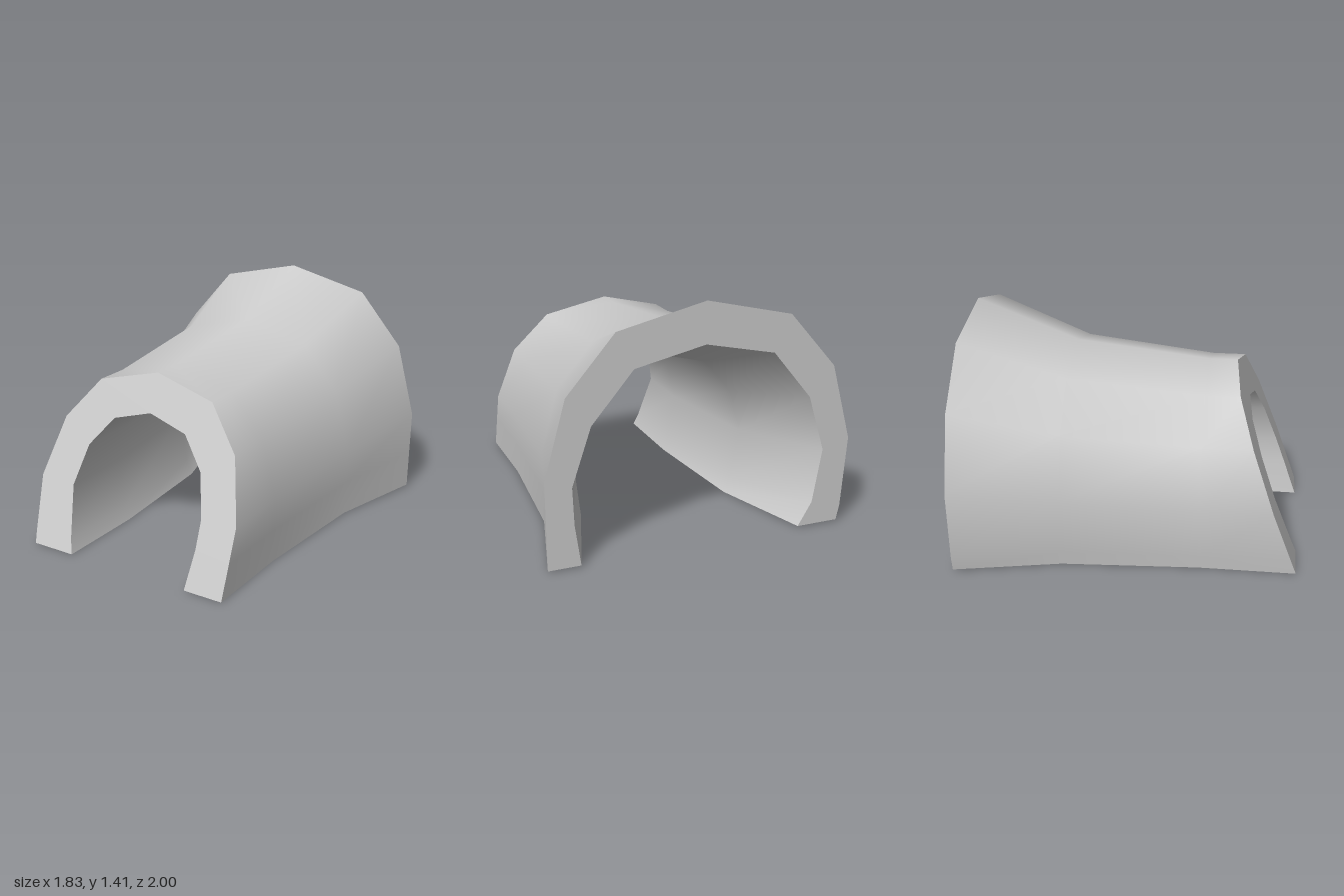
import * as THREE from 'three';
import { toCreasedNormals } from 'three/addons/utils/BufferGeometryUtils.js';

// Arch profiles [x, y], from the foot at -x over the crown to the foot at +x
const narrowOuter = [[-0.645, 0], [-0.655, 0.08], [-0.685, 0.39], [-0.59, 0.745], [-0.385, 0.99], [0, 1.085],
  [0.39, 0.99], [0.595, 0.745], [0.685, 0.39], [0.683, 0.2], [0.68, 0]];
const narrowInner = [[-0.365, 0], [-0.39, 0.08], [-0.445, 0.38], [-0.385, 0.62], [-0.24, 0.795], [0, 0.863],
  [0.255, 0.795], [0.4, 0.62], [0.46, 0.38], [0.46, 0.22], [0.435, 0]];
const wideOuter = [[-0.865, 0.01], [-0.885, 0.1], [-0.917, 0.52], [-0.795, 0.97], [-0.51, 1.295], [0, 1.415],
  [0.515, 1.295], [0.795, 0.97], [0.917, 0.52], [0.913, 0.25], [0.91, 0.01]];
const wideInner = [[-0.61, 0.01], [-0.695, 0.15], [-0.75, 0.47], [-0.648, 0.8], [-0.413, 1.085], [0, 1.175],
  [0.413, 1.085], [0.655, 0.8], [0.765, 0.47], [0.755, 0.25], [0.72, 0.01]];

// Closed ring: along the outside, then back along the inside
const narrow = [...narrowOuter, ...narrowInner.reverse()];
const wide = [...wideOuter, ...wideInner.reverse()];

// Sections from back to front: depth and flare (1 = wide, 0 = narrow)
const sections = [
  { z: () => -1, flare: 1 },
  { z: () => -0.38, flare: 0.275 },
  { z: () => 0.43, flare: 0 },
  { z: (y) => 1 - 0.369 * y, flare: 0 }, // slanted front cut
];

function buildArch() {
  const n = narrow.length;
  const positions = [];
  const index = [];
  for (const { z, flare } of sections) {
    narrow.forEach(([x, y], i) => {
      const py = THREE.MathUtils.lerp(y, wide[i][1], flare);
      positions.push(THREE.MathUtils.lerp(x, wide[i][0], flare), py, z(py));
    });
  }
  // Skin: outer shell, inner shell and the undersides of the feet
  for (let s = 0; s < sections.length - 1; s++) {
    for (let i = 0; i < n; i++) {
      const a = s * n + i;
      const b = s * n + (i + 1) % n;
      index.push(a, a + n, b + n, a, b + n, b);
    }
  }
  // End faces between outer and inner profile
  const front = (sections.length - 1) * n;
  for (let j = 0; j < n / 2 - 1; j++) {
    const o = j, o2 = j + 1, i = n - 1 - j, i2 = n - 2 - j;
    index.push(front + o, front + i, front + i2, front + o, front + i2, front + o2);
    index.push(o, i2, i, o, o2, i2);
  }
  const geometry = new THREE.BufferGeometry();
  geometry.setAttribute('position', new THREE.Float32BufferAttribute(positions, 3));
  geometry.setIndex(index);
  return toCreasedNormals(geometry, 0.85);
}

export function createModel() {
  const group = new THREE.Group();
  group.name = 'flaredArch';
  const arch = new THREE.Mesh(buildArch(), new THREE.MeshStandardMaterial({ color: 0xcccccc }));
  arch.name = 'archShell';
  group.add(arch);
  return group;
}
